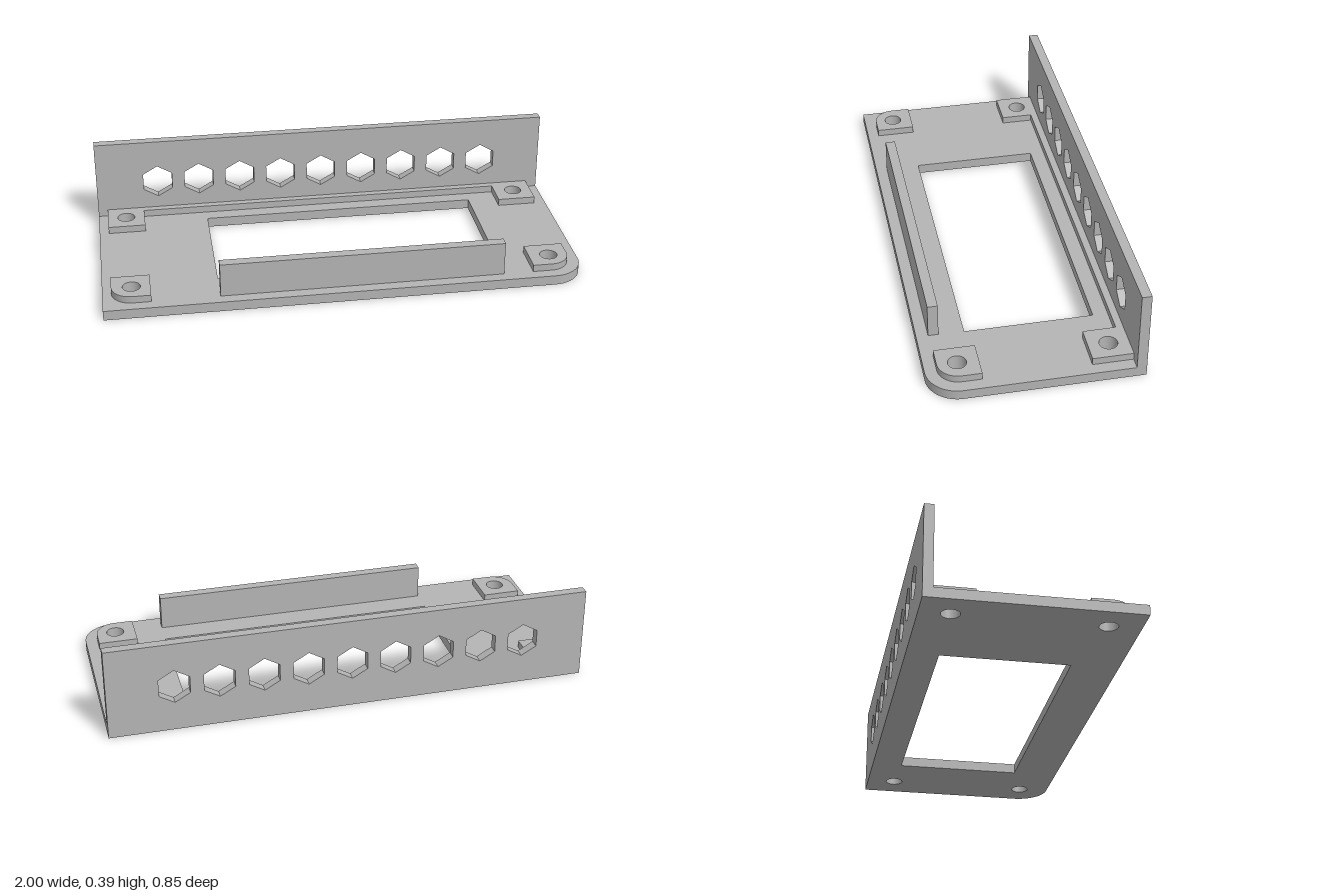
import * as THREE from 'three';

const grey = new THREE.MeshStandardMaterial({ color: 0xb4b4b4 });
grey.name = 'grey';

const BASE_TOP = 0.042, PAD_TOP = 0.072, WALL_FRONT = -0.385, BACK = -0.425, FRONT = 0.425;
const HOLE_R = 0.037;

// Rectangle outline in plan (x, -z); rl and rr round the front corners at -x and +x
function planShape(x0, x1, zBack, zFront, rl = 0, rr = 0) {
  const s = new THREE.Shape();
  s.moveTo(x0, -zBack);
  s.lineTo(x0, -zFront + rl);
  if (rl) s.absarc(x0 + rl, -zFront + rl, rl, Math.PI, Math.PI * 1.5, false);
  s.lineTo(x1 - rr, -zFront);
  if (rr) s.absarc(x1 - rr, -zFront + rr, rr, -Math.PI / 2, 0, false);
  s.lineTo(x1, -zBack);
  s.closePath();
  return s;
}

function roundHole(x, z) {
  return new THREE.Path().absarc(x, -z, HOLE_R, 0, Math.PI * 2, true);
}

// Horizontal plate extruded upwards from y0 to y1
function plate(name, shape, y0, y1) {
  const g = new THREE.ExtrudeGeometry(shape, { depth: y1 - y0, bevelEnabled: false, curveSegments: 24 });
  g.rotateX(-Math.PI / 2).translate(0, y0, 0);
  const m = new THREE.Mesh(g, grey);
  m.name = name;
  return m;
}

function block(name, x0, x1, y0, y1, z0, z1) {
  const m = new THREE.Mesh(new THREE.BoxGeometry(x1 - x0, y1 - y0, z1 - z0), grey);
  m.position.set((x0 + x1) / 2, (y0 + y1) / 2, (z0 + z1) / 2);
  m.name = name;
  return m;
}

export function createModel() {
  const group = new THREE.Group();
  group.name = 'mountingBracket';

  // Corner pads: extents, front corner radii and screw hole centre
  const pads = [
    { name: 'backRightPad', x: [-0.96, -0.8], z: [WALL_FRONT, -0.22], r: [0, 0], hole: [-0.88, -0.303] },
    { name: 'backLeftPad', x: [0.785, 0.95], z: [WALL_FRONT, -0.22], r: [0, 0], hole: [0.87, -0.303] },
    { name: 'frontRightPad', x: [-0.963, -0.803], z: [0.212, 0.377], r: [0.085, 0], hole: [-0.88, 0.297] },
    { name: 'frontLeftPad', x: [0.785, 0.95], z: [0.212, 0.377], r: [0, 0.085], hole: [0.87, 0.297] },
  ];

  // Base plate with a window, screw holes and one rounded corner
  const base = planShape(-1, 1, WALL_FRONT, FRONT, 0, 0.13);
  base.holes.push(planShape(-0.523, 0.662, -0.294, 0.232));
  for (const p of pads) base.holes.push(roundHole(...p.hole));
  group.add(plate('basePlate', base, 0, BASE_TOP));

  for (const p of pads) {
    const s = planShape(...p.x, ...p.z, ...p.r);
    s.holes.push(roundHole(...p.hole));
    group.add(plate(p.name, s, BASE_TOP, PAD_TOP));
  }

  // Back wall with a row of hexagonal holes
  const wall = new THREE.Shape([[-1, 0], [1, 0], [1, 0.39], [-1, 0.39]].map(p => new THREE.Vector2(...p)));
  for (let i = 0; i < 9; i++) {
    const cx = -0.731 + i * 0.1823, pts = [];
    for (let k = 0; k < 6; k++) {
      const a = Math.PI / 2 - k * Math.PI / 3;
      pts.push(new THREE.Vector2(cx + 0.073 * Math.cos(a), 0.198 + 0.073 * Math.sin(a)));
    }
    wall.holes.push(new THREE.Path(pts));
  }
  const wallGeo = new THREE.ExtrudeGeometry(wall, { depth: WALL_FRONT - BACK, bevelEnabled: false });
  const backWall = new THREE.Mesh(wallGeo.translate(0, 0, BACK), grey);
  backWall.name = 'backWall';
  group.add(backWall);

  // Strip along the foot of the wall, and the front fence
  group.add(block('wallStrip', -0.8, 0.785, BASE_TOP, PAD_TOP, WALL_FRONT, -0.355));
  group.add(block('frontFence', -0.523, 0.66, BASE_TOP, 0.187, 0.335, 0.377));
  return group;
}
